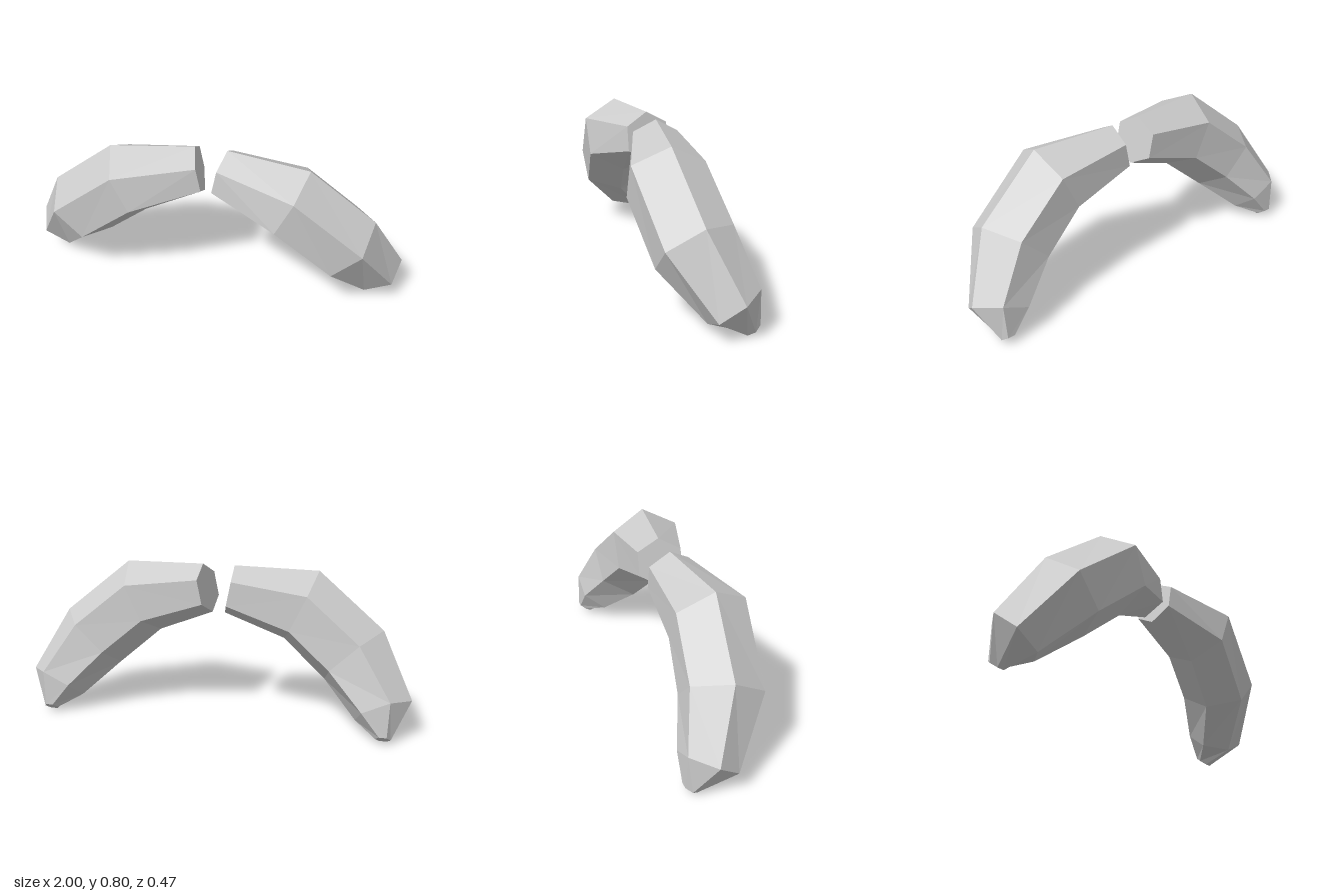
import * as THREE from 'three';

// Hexagonal cross-sections from the centre out to the tip:
// centre, half-axis to the outer ridge, half-axis to the front side.
const SECTIONS = [
  { c: [0.0575, 0.68, 0], u: [0.025, 0.125, 0], w: [-0.0175, 0, 0.11] },
  { c: [0.42, 0.605, 0.058], u: [0.085, 0.182, 0.002], w: [-0.0075, 0.0025, 0.177] },
  { c: [0.6975, 0.3725, 0.015], u: [0.1425, 0.14, 0], w: [0.0325, -0.0325, 0.17] },
  { c: [0.865, 0.14, -0.115], u: [0.135, 0.065, 0], w: [0.0325, -0.0525, 0.11] },
  { c: [0.875, 0.024, -0.203], u: [0.0375, 0, 0], w: [0, -0.022, 0.03] },
];
// Hexagon corners as multiples of the two half-axes
const CORNERS = [[1, 0], [0.5, 1], [-0.5, 1], [-1, 0], [-0.5, -1], [0.5, -1]];

// Loft the sections into a closed curved horn; side = 1 or -1 mirrors it in x
function hornGeometry(side) {
  const positions = [];
  const index = [];
  const n = CORNERS.length;
  for (const { c, u, w } of SECTIONS) {
    for (const [a, b] of CORNERS) {
      const p = c.map((v, k) => v + a * u[k] + b * w[k]);
      positions.push(side * p[0], p[1], p[2]);
    }
  }
  const face = (a, b, c) => (side > 0 ? index.push(a, b, c) : index.push(a, c, b));

  for (let i = 0; i < SECTIONS.length - 1; i++) {
    for (let j = 0; j < n; j++) {
      const k = (j + 1) % n;
      const a = i * n + j, b = i * n + k;
      face(a, b, b + n);
      face(a, b + n, a + n);
    }
  }
  // Flat caps at the inner end and the tip
  const last = (SECTIONS.length - 1) * n;
  for (let j = 1; j < n - 1; j++) {
    face(0, j + 1, j);
    face(last, last + j, last + j + 1);
  }

  const indexed = new THREE.BufferGeometry();
  indexed.setAttribute('position', new THREE.Float32BufferAttribute(positions, 3));
  indexed.setIndex(index);
  const geometry = indexed.toNonIndexed();
  geometry.computeVertexNormals();
  return geometry;
}

export function createModel() {
  const group = new THREE.Group();
  group.name = 'curvedPair';
  const grey = new THREE.MeshStandardMaterial({ color: 0xcccccc });
  grey.name = 'lightGrey';
  grey.flatShading = true;

  for (const [name, side] of [['leftCurve', 1], ['rightCurve', -1]]) {
    const mesh = new THREE.Mesh(hornGeometry(side), grey);
    mesh.name = name;
    group.add(mesh);
  }
  return group;
}
